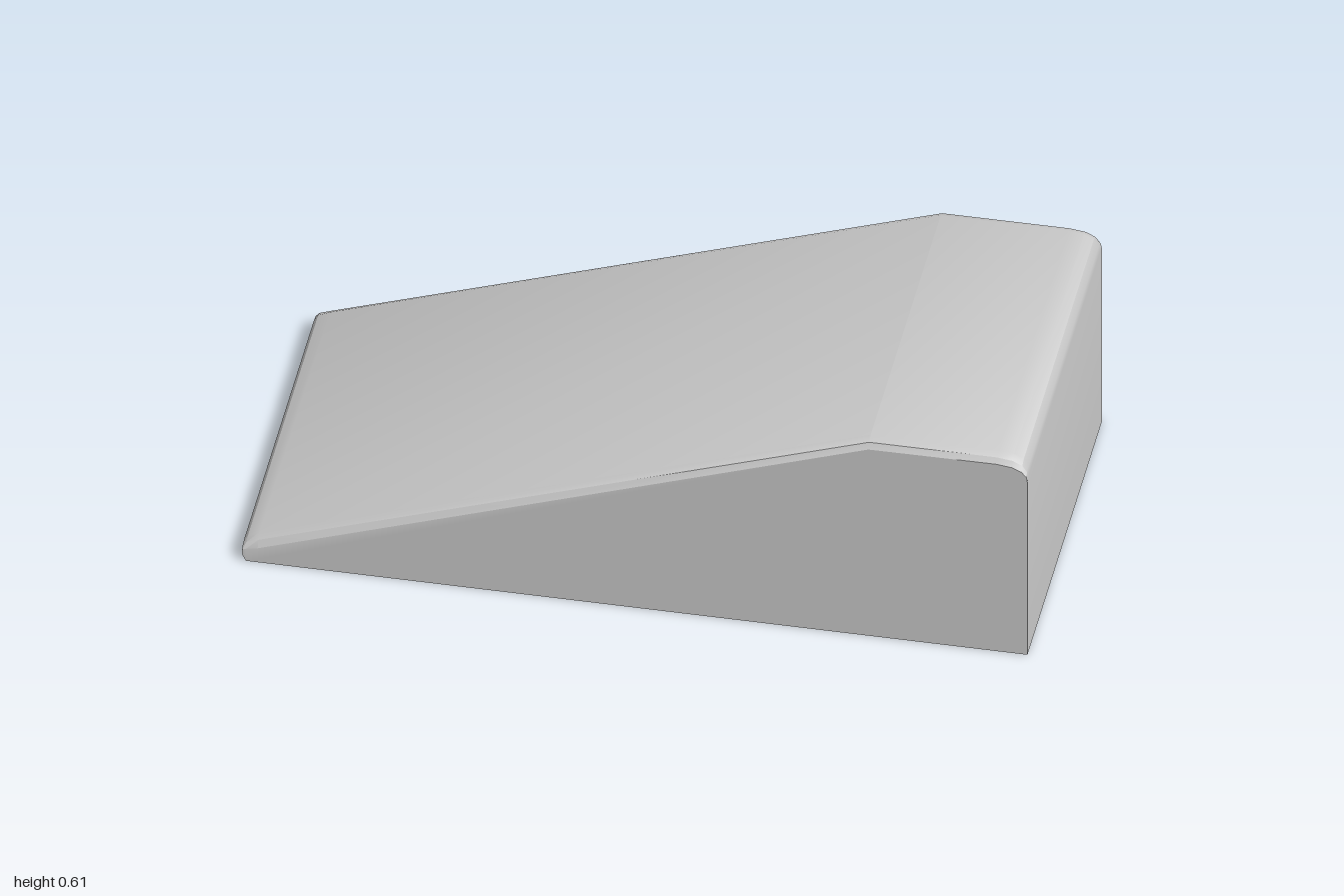
import * as THREE from 'three';
import { toCreasedNormals } from 'three/addons/utils/BufferGeometryUtils.js';

// Ramp outline from nose to tall end: x, y, and how far the bevel drops at the sides
const outline = [
  [-0.99, 0, 0], [-1, 0.02, 0], [-1, 0.045, 0.012], [-0.99, 0.06, 0.022], [-0.96, 0.074, 0.03],
  [0.595, 0.613, 0.024], [0.92, 0.613, 0.022], [0.96, 0.608, 0.022], [0.985, 0.595, 0.02],
  [0.997, 0.575, 0.015], [1, 0.555, 0.01], [1, 0, 0],
];
// Bevel across the width: z and share of the drop
const halfBevel = [[0.485, 1], [0.475, 0.36], [0.455, 0]];
const bevel = [...halfBevel, ...halfBevel.map(([z, d]) => [-z, d]).reverse()];

function wedgeGeometry() {
  const positions = [];
  const n = outline.length;
  const last = bevel.length - 1;
  const point = (i, j) => {
    const [x, y, drop] = outline[i % n];
    return [x, y - drop * bevel[j][1], bevel[j][0]];
  };
  const triangle = (a, b, c) => positions.push(...a, ...b, ...c);

  // Skin around the outline, including the underside
  for (let i = 0; i < n; i++) {
    for (let j = 0; j < last; j++) {
      const a = point(i, j), b = point(i + 1, j);
      const c = point(i + 1, j + 1), d = point(i, j + 1);
      triangle(a, b, c);
      triangle(a, c, d);
    }
  }
  // Flat side walls
  for (let i = 1; i < n - 1; i++) {
    triangle(point(0, 0), point(i + 1, 0), point(i, 0));
    triangle(point(0, last), point(i, last), point(i + 1, last));
  }

  const geometry = new THREE.BufferGeometry();
  geometry.setAttribute('position', new THREE.Float32BufferAttribute(positions, 3));
  return toCreasedNormals(geometry, 0.5);
}

export function createModel() {
  const model = new THREE.Group();
  model.name = 'ramp';
  const body = new THREE.Mesh(
    wedgeGeometry(),
    new THREE.MeshStandardMaterial({ color: 0xcccccc })
  );
  body.name = 'rampBody';
  model.add(body);
  return model;
}
